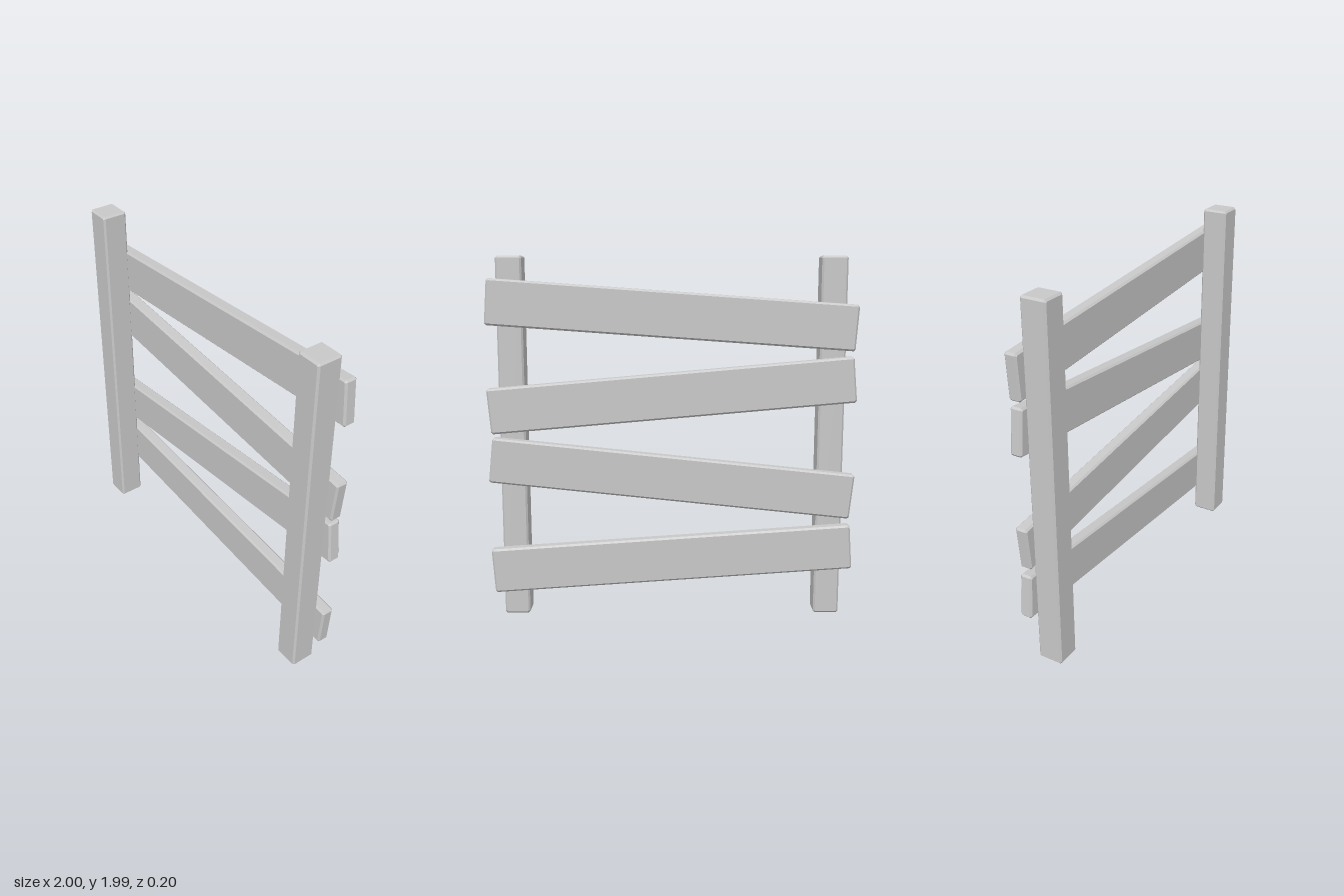
import * as THREE from 'three';

const BEVEL = 0.01;

// Box with one flat chamfer along every edge, centred on the origin
function chamferedBox(w, h, d) {
  const x = w / 2 - BEVEL, y = h / 2 - BEVEL, c = BEVEL;
  const outline = new THREE.Shape([
    [-x, -y - c], [x, -y - c], [x + c, -y], [x + c, y],
    [x, y + c], [-x, y + c], [-x - c, y], [-x - c, -y],
  ].map(([px, py]) => new THREE.Vector2(px, py)));
  const geometry = new THREE.ExtrudeGeometry(outline, {
    depth: d - 2 * c, bevelEnabled: true, bevelThickness: c,
    bevelSize: c, bevelOffset: -c, bevelSegments: 1,
  });
  return geometry.translate(0, 0, -d / 2 + c);
}

export function createModel() {
  const group = new THREE.Group();
  group.name = 'fence';
  const wood = new THREE.MeshStandardMaterial({ color: 0xc8c8c8 });
  wood.name = 'light grey wood';

  // Two upright posts
  const postGeometry = chamferedBox(0.14, 1.988, 0.14);
  for (const side of [-1, 1]) {
    const post = new THREE.Mesh(postGeometry, wood);
    post.name = side > 0 ? 'leftPost' : 'rightPost';
    post.position.set(side * 0.87, 0.994, 0.03);
    group.add(post);
  }

  // Four crooked boards across the back: [centre height, tilt]
  const boardGeometry = chamferedBox(1.984, 0.247, 0.068);
  const boards = [[0.334, -0.07], [0.789, 0.104], [1.245, -0.088], [1.678, 0.071]];
  boards.forEach(([y, tilt], i) => {
    const board = new THREE.Mesh(boardGeometry, wood);
    board.name = `board${i + 1}`;
    board.position.set(0, y, -0.066);
    board.rotation.z = tilt;
    group.add(board);
  });

  return group;
}
